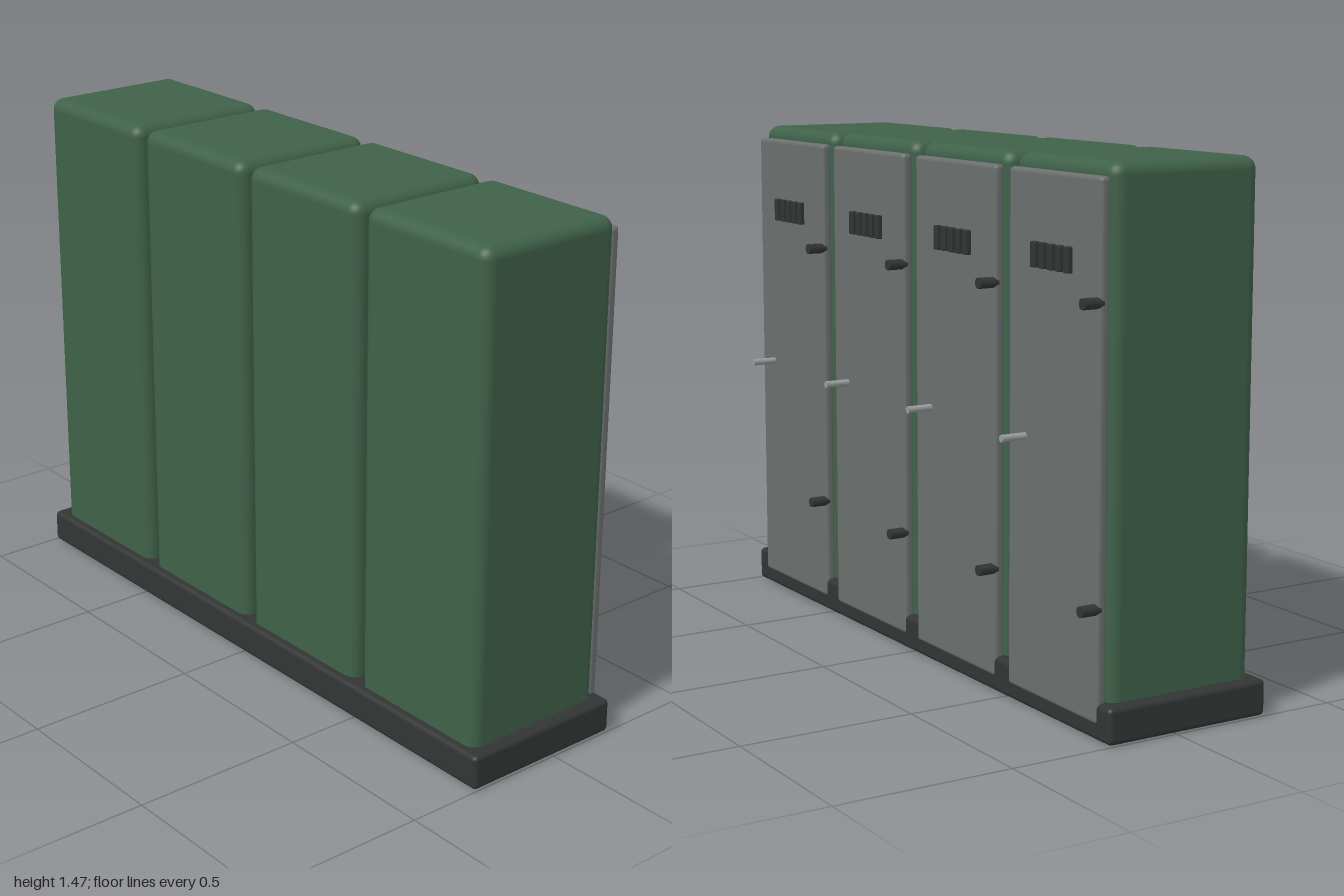
import * as THREE from 'three';
import { RoundedBoxGeometry } from 'three/addons/geometries/RoundedBoxGeometry.js';

const paint = (color) => new THREE.MeshStandardMaterial({ color });
const green = paint(0x3f6149);
const dark = paint(0x333535);
const grey = paint(0x6a6f6e);
const steel = paint(0x999c9c);

// Rounded box given by its extents along y and z, centred at x
function slab(name, mat, x, width, [y0, y1], [z0, z1], radius, segments = 3) {
  const mesh = new THREE.Mesh(new RoundedBoxGeometry(width, y1 - y0, z1 - z0, segments, radius), mat);
  mesh.name = name;
  mesh.position.set(x, (y0 + y1) / 2, (z0 + z1) / 2);
  return mesh;
}

// Round pin along z
function pin(name, mat, x, y, [z0, z1], radius) {
  const mesh = new THREE.Mesh(new THREE.CylinderGeometry(radius, radius, z1 - z0, 16), mat);
  mesh.name = name;
  mesh.rotation.x = Math.PI / 2;
  mesh.position.set(x, y, (z0 + z1) / 2);
  return mesh;
}

function createCabinet() {
  const cabinet = new THREE.Group();
  cabinet.name = 'cabinet';
  cabinet.add(slab('cabinetBody', green, 0, 0.46, [0, 1.473], [-0.185, 0.265], 0.035, 4));
  cabinet.add(slab('door', grey, 0, 0.424, [0.043, 1.437], [-0.213, -0.182], 0.012));

  // Ventilation slats near the top of the door
  for (let i = -2; i <= 2; i++) {
    cabinet.add(slab('ventSlat', dark, i * 0.038, 0.024, [1.187, 1.254], [-0.227, -0.207], 0.003, 1));
  }
  // Hinges on one edge, handle near the other
  for (const y of [0.345, 1.125]) cabinet.add(pin('hinge', dark, -0.198, y, [-0.258, -0.2], 0.015));
  cabinet.add(pin('handle', steel, 0.128, 0.738, [-0.288, -0.2], 0.01));
  return cabinet;
}

export function createModel() {
  const model = new THREE.Group();
  model.name = 'cabinetRow';
  // Plinth sits a hair above the cabinet bottoms so they show beneath
  model.add(slab('plinth', dark, 0, 2, [0.001, 0.1], [-0.21, 0.29], 0.014));
  for (let i = 0; i < 4; i++) {
    const cabinet = createCabinet();
    cabinet.position.x = (i - 1.5) * 0.4887;
    model.add(cabinet);
  }
  return model;
}
